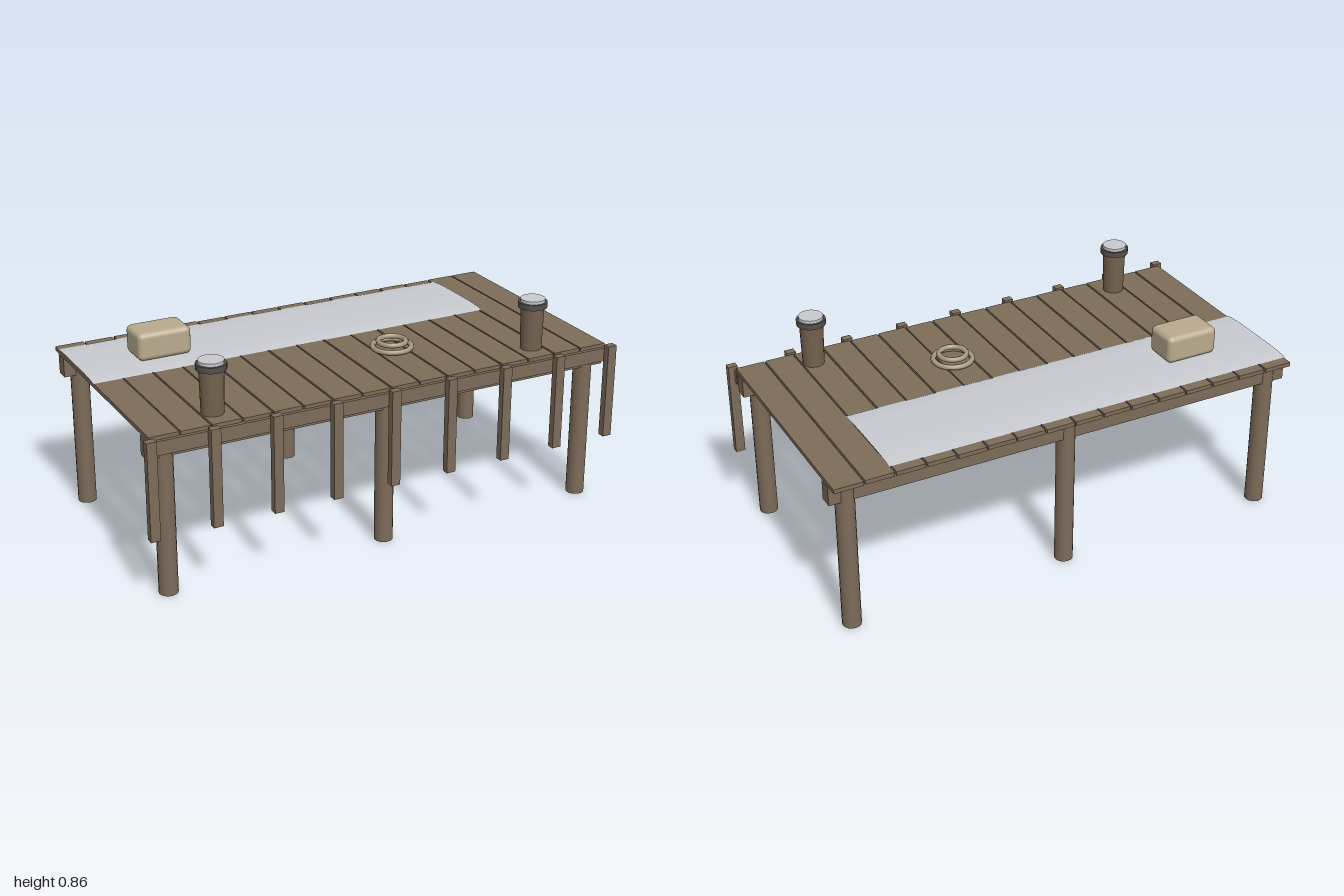
import * as THREE from 'three';
import { RoundedBoxGeometry } from 'three/addons/geometries/RoundedBoxGeometry.js';

const mat = (name, color) => {
  const m = new THREE.MeshStandardMaterial({ color });
  m.name = name;
  return m;
};

export function createModel() {
  const dock = new THREE.Group();
  dock.name = 'dock';

  const wood = mat('weathered wood', 0x7d6c59);
  const canister = mat('canister brown', 0x74634f);
  const collarGrey = mat('dark grey', 0x55504b);
  const pale = mat('pale grey', 0xc9cbd1);
  const beige = mat('beige', 0xb9ab8e);
  const ropeTan = mat('rope', 0xa69b80);

  const add = (name, geo, material, x, y, z, parent = dock) => {
    const mesh = new THREE.Mesh(geo, material);
    mesh.name = name;
    mesh.position.set(x, y, z);
    parent.add(mesh);
    return mesh;
  };
  const box = (w, h, d) => new THREE.BoxGeometry(w, h, d);

  // Deck planks, with slightly uneven lengths
  const count = 16, pitch = 1.95 / count;
  for (let i = 0; i < count; i++) {
    const back = -0.51 + 0.004 * Math.abs(Math.sin(i * 2.3));
    const front = 0.468;
    add('deckPlank', box(pitch - 0.007, 0.017, front - back), wood,
      -0.975 + pitch * (i + 0.5), 0.6465 - 0.001 * (i % 2), (front + back) / 2);
  }

  // Long beams and round piles
  const pile = new THREE.CylinderGeometry(0.037, 0.037, 0.636, 16);
  for (const z of [0.42, -0.436]) {
    add('beam', box(1.95, 0.077, 0.055), wood, 0, 0.5985, z);
    for (const x of [-0.903, 0, 0.903]) add('pile', pile, wood, x, 0.318, z);
  }

  // Front rail and hanging fender posts
  add('frontRail', box(1.95, 0.055, 0.023), wood, 0, 0.6125, 0.471);
  for (let i = -4; i <= 4; i++) {
    add('fenderPost', box(0.038, 0.388, 0.03), wood, i * 0.2447, 0.461, 0.497);
  }

  // Thin tarp, gently raised along its middle
  const tarp = new THREE.PlaneGeometry(1.715, 0.395, 1, 16).rotateX(-Math.PI / 2);
  const p = tarp.attributes.position;
  for (let i = 0; i < p.count; i++) {
    const t = p.getZ(i) / 0.1975;
    p.setY(i, 0.657 + 0.008 * (1 - t ** 4));
  }
  tarp.computeVertexNormals();
  const tarpMaterial = pale.clone();
  tarpMaterial.name = 'tarp grey';
  tarpMaterial.side = THREE.DoubleSide;
  add('tarp', tarp, tarpMaterial, -0.118, 0, -0.271);

  // Rounded bundle resting on the tarp
  add('bundle', new RoundedBoxGeometry(0.22, 0.114, 0.146, 3, 0.022), beige, -0.638, 0.719, -0.245);

  // Coiled rope
  const coil = new THREE.Group();
  coil.name = 'ropeCoil';
  dock.add(coil);
  [[0.077, 0.666], [0.054, 0.687]].forEach(([r, y]) => {
    add('ropeLoop', new THREE.TorusGeometry(r, 0.0108, 8, 32).rotateX(Math.PI / 2), ropeTan, 0.195, y, 0.126, coil);
  });

  // Pair of capped canisters
  for (const x of [-0.685, 0.685]) {
    const can = new THREE.Group();
    can.name = 'canister';
    can.position.set(x, 0.655, 0.37);
    dock.add(can);
    add('canisterBody', new THREE.CylinderGeometry(0.047, 0.043, 0.172, 16), canister, 0, 0.086, 0, can);
    add('canisterCollar', new THREE.CylinderGeometry(0.058, 0.058, 0.023, 16), collarGrey, 0, 0.1835, 0, can);
    add('canisterCap', new THREE.CylinderGeometry(0.049, 0.049, 0.012, 16), pale, 0, 0.201, 0, can);
  }

  return dock;
}
